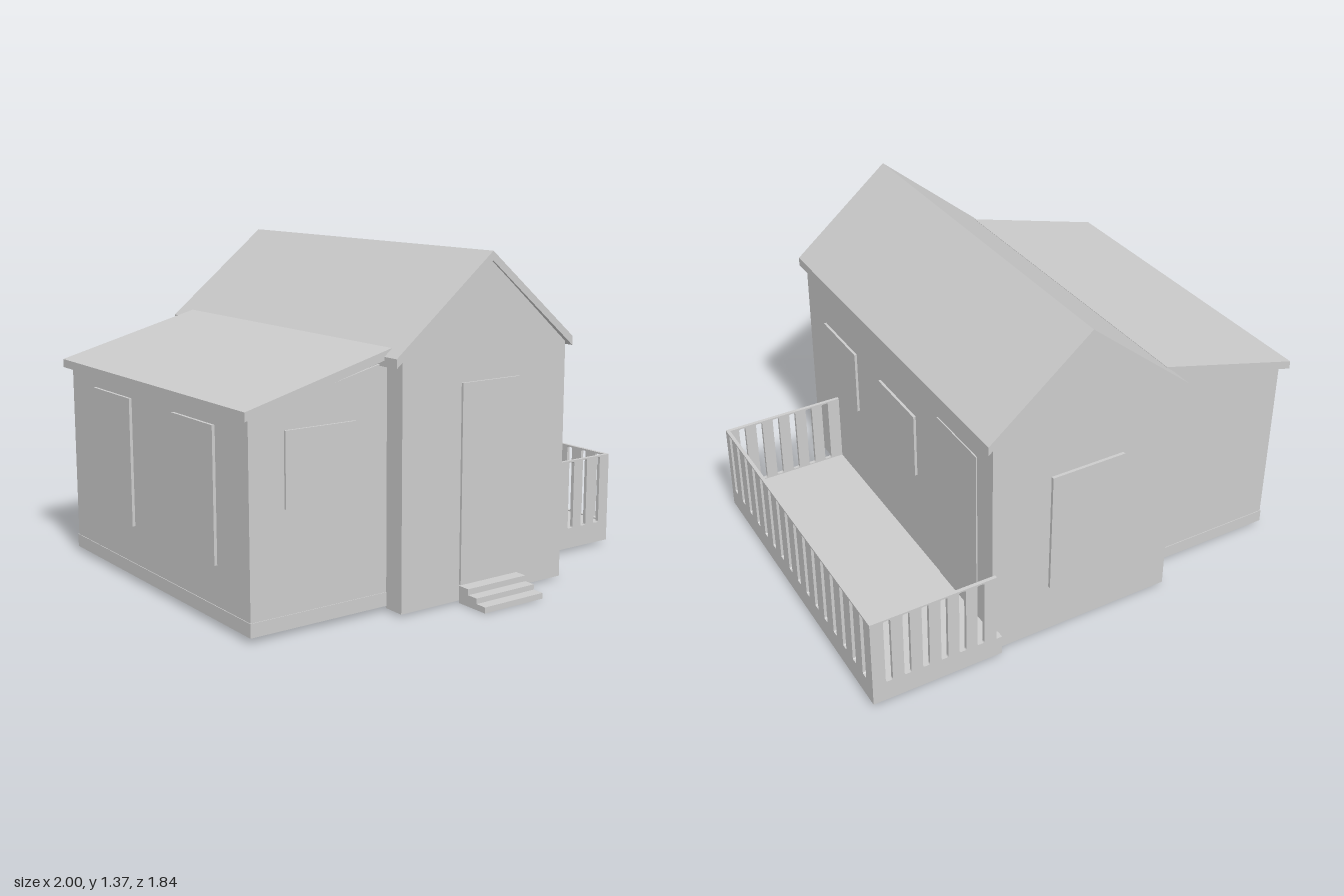
import * as THREE from 'three';

const material = new THREE.MeshStandardMaterial({ color: 0xcccccc, side: THREE.DoubleSide });

export function createModel() {
  const model = new THREE.Group();

  const add = (name, geometry) => {
    const mesh = new THREE.Mesh(geometry, material);
    mesh.name = name;
    model.add(mesh);
    return mesh;
  };

  // Box given by its limits on each axis
  const box = (name, x0, x1, y0, y1, z0, z1) => {
    const mesh = add(name, new THREE.BoxGeometry(x1 - x0, y1 - y0, z1 - z0));
    mesh.position.set((x0 + x1) / 2, (y0 + y1) / 2, (z0 + z1) / 2);
    return mesh;
  };

  // Outline in x and y, extruded from z0 to z1
  const outline = (points) => new THREE.Shape(points.map(([x, y]) => new THREE.Vector2(x, y)));
  const prism = (name, shape, z0, z1) => {
    const geometry = new THREE.ExtrudeGeometry(shape, { depth: z1 - z0, bevelEnabled: false, curveSegments: 3 });
    const mesh = add(name, geometry);
    mesh.position.z = z0;
    return mesh;
  };

  const T = 0.01; // wall thickness

  // Main house: two gable walls, right wall, and short left returns beside the annex
  const gable = outline([[-0.36, 0], [0.465, 0], [0.465, 0.98], [0.065, 1.325], [-0.36, 0.975]]);
  prism('frontGableWall', gable, 0.765 - T, 0.765);
  prism('backGableWall', gable, -0.885, -0.885 + T);
  box('rightWall', 0.465 - T, 0.465, 0, 0.98, -0.885, 0.765);
  box('leftFrontReturn', -0.36, -0.36 + T, 0, 0.975, 0.67, 0.765);
  box('leftBackReturn', -0.36, -0.36 + T, 0, 0.975, -0.885, -0.77);

  // Main pitched roof
  prism('mainRoof', outline([
    [-0.395, 0.948], [0.065, 1.323], [0.495, 0.963],
    [0.495, 1.0], [0.065, 1.36], [-0.395, 0.985],
  ]), -0.905, 0.775);

  // Annex on the right-hand side, open to the main house
  const annexEnd = outline([[-0.97, 0.01], [-0.36, 0.01], [-0.36, 0.962], [-0.97, 0.815]]);
  prism('annexFrontWall', annexEnd, 0.67 - T, 0.67);
  prism('annexBackWall', annexEnd, -0.77, -0.77 + T);
  box('annexSideWall', -0.97, -0.97 + T, 0.01, 0.815, -0.77, 0.67);
  prism('annexRoof', outline([[-1, 0.81], [-0.36, 0.98], [-0.36, 1.015], [-1, 0.845]]), -0.8, 0.7);

  // Sill ring around the foot of the annex
  box('annexSillOuter', -0.973, -0.957, 0.01, 0.065, -0.773, 0.673);
  box('annexSillInner', -0.36, -0.35, 0.01, 0.065, -0.77, 0.67);
  box('annexSillFront', -0.973, -0.36, 0.01, 0.065, 0.657, 0.673);
  box('annexSillBack', -0.973, -0.36, 0.01, 0.065, -0.773, -0.757);

  // Doors and windows, set through the walls
  box('frontDoor', -0.075, 0.215, 0.065, 0.865, 0.75, 0.775);
  box('annexFrontWindow', -0.82, -0.51, 0.465, 0.755, 0.655, 0.68);
  box('backWindow', -0.115, 0.21, 0.22, 0.755, -0.898, -0.87);
  box('deckDoor', 0.45, 0.47, 0.095, 0.865, -0.77, -0.465);
  for (const [z0, z1] of [[0.27, 0.585], [-0.275, 0.04]]) {
    box('sideWindow', 0.45, 0.476, 0.468, 0.755, z0, z1);
  }
  for (const [z0, z1] of [[0.13, 0.44], [-0.545, -0.22]]) {
    box('annexSideWindow', -0.982, -0.955, 0.225, 0.755, z0, z1);
  }

  // Front steps
  [[0.06, 0.82], [0.036, 0.87], [0.014, 0.92]].forEach(([top, z]) => {
    box('frontStep', -0.075, 0.225, top - 0.024, top, 0.765, z);
  });
  box('stepBase', -0.075, 0.225, 0.005, 0.036, 0.765, 0.82);

  // Railing panel: a board with a row of upright, slightly rounded slots
  const railing = (u0, u1, first, last, count) => {
    const shape = outline([[u0, 0.005], [u1, 0.005], [u1, 0.4], [u0, 0.4]]);
    const w = 0.015, r = 0.007, y0 = 0.095, y1 = 0.393;
    for (let i = 0; i < count; i++) {
      const u = first + (last - first) * i / (count - 1);
      const slot = new THREE.Path();
      slot.moveTo(u - w, y0 + r);
      slot.lineTo(u - w, y1 - r);
      slot.quadraticCurveTo(u - w, y1, u - w + r, y1);
      slot.lineTo(u + w - r, y1);
      slot.quadraticCurveTo(u + w, y1, u + w, y1 - r);
      slot.lineTo(u + w, y0 + r);
      slot.quadraticCurveTo(u + w, y0, u + w - r, y0);
      slot.lineTo(u - w + r, y0);
      slot.quadraticCurveTo(u - w, y0, u - w, y0 + r);
      shape.holes.push(slot);
    }
    return shape;
  };

  // Side deck with railings on three sides
  box('deckFloor', 0.465, 0.99, 0.07, 0.09, -0.91, 0.505);
  prism('deckFrontRailing', railing(0.465, 0.998, 0.535, 0.93, 6), 0.5, 0.515);
  prism('deckBackRailing', railing(0.465, 0.998, 0.535, 0.93, 6), -0.92, -0.905);
  box('deckBackBoard', 0.44, 0.466, 0.005, 0.09, -0.92, -0.885);
  const side = prism('deckSideRailing', railing(-0.515, 0.92, -0.46, 0.85, 16), 0, 0.015);
  side.rotation.y = Math.PI / 2;
  side.position.set(0.985, 0, 0);

  return model;
}
